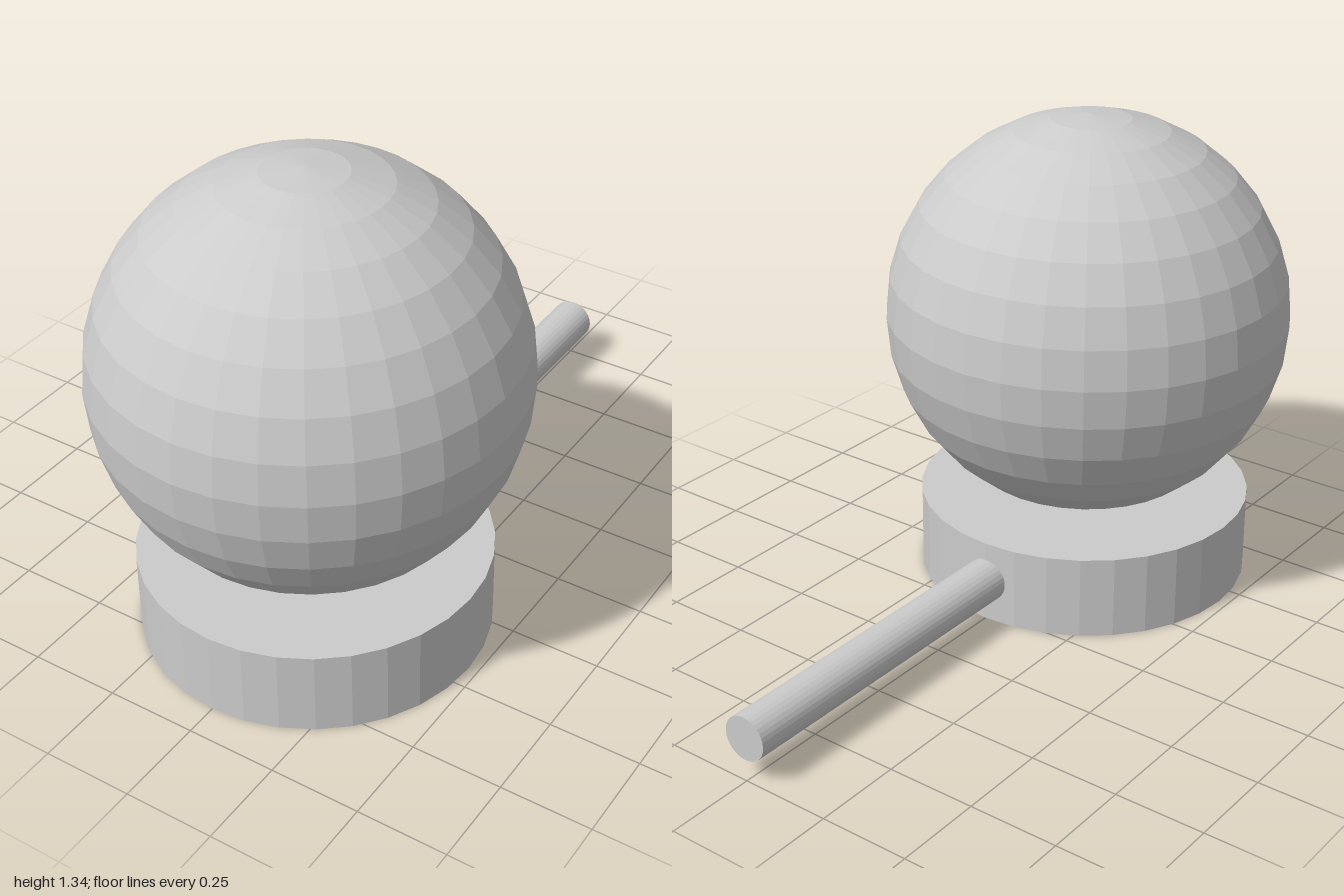
import * as THREE from 'three';

export function createModel() {
  const group = new THREE.Group();
  const material = new THREE.MeshStandardMaterial({ color: 0xcccccc, flatShading: true });
  const centreZ = 0.435;

  const add = (name, geometry, x, y, z) => {
    const mesh = new THREE.Mesh(geometry, material);
    mesh.name = name;
    mesh.position.set(x, y, z);
    group.add(mesh);
    return mesh;
  };

  // Round base disc standing on the ground
  add('base', new THREE.CylinderGeometry(0.473, 0.473, 0.236, 32), 0, 0.118, centreZ);

  // Large faceted ball sunk slightly into the base
  add('ball', new THREE.SphereGeometry(0.565, 32, 16), 0, 0.779, centreZ);

  // Horizontal rod running from inside the base out to the back
  const rodEnd = -1, rodStart = 0;
  const rod = add('rod', new THREE.CylinderGeometry(0.062, 0.062, rodStart - rodEnd, 32),
    0, 0.123, (rodStart + rodEnd) / 2);
  rod.rotation.x = Math.PI / 2;

  return group;
}
